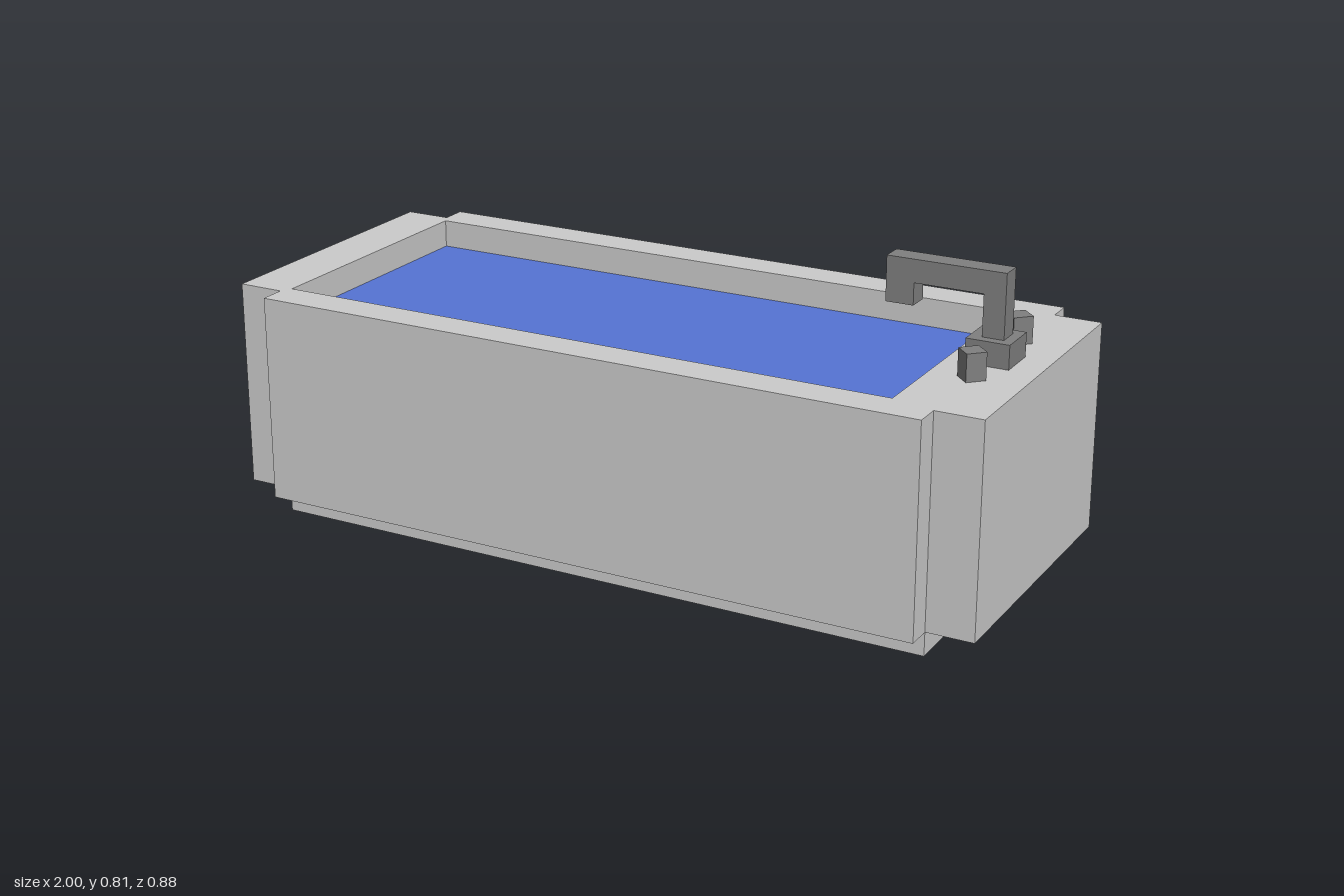
import * as THREE from 'three';

const enamel = new THREE.MeshStandardMaterial({ color: 0xcccccc, flatShading: true });
const metal = new THREE.MeshStandardMaterial({ color: 0x808080, flatShading: true });
const waterBlue = new THREE.MeshStandardMaterial({ color: 0x5674d4, side: THREE.DoubleSide });

function add(parent, name, geometry, material) {
  const mesh = new THREE.Mesh(geometry, material);
  mesh.name = name;
  parent.add(mesh);
  return mesh;
}

// Box given by its min and max corners
function box(parent, name, [x0, y0, z0], [x1, y1, z1], material) {
  const mesh = add(parent, name, new THREE.BoxGeometry(x1 - x0, y1 - y0, z1 - z0), material);
  mesh.position.set((x0 + x1) / 2, (y0 + y1) / 2, (z0 + z1) / 2);
  return mesh;
}

const toPoints = list => list.map(([x, y]) => new THREE.Vector2(x, y));

export function createModel() {
  const group = new THREE.Group();
  const endX = 1, sideX = 0.88, endZ = 0.375, sideZ = 0.442;
  const bottom = 0.06, rim = 0.592;

  // Tub walls: outline with notched corners and a rectangular basin
  const outline = new THREE.Shape(toPoints([
    [-endX, -endZ], [-sideX, -endZ], [-sideX, -sideZ], [sideX, -sideZ],
    [sideX, -endZ], [endX, -endZ], [endX, endZ], [sideX, endZ],
    [sideX, sideZ], [-sideX, sideZ], [-sideX, endZ], [-endX, endZ],
  ]));
  outline.holes.push(new THREE.Path(toPoints([
    [-0.865, -0.347], [-0.865, 0.347], [0.77, 0.347], [0.77, -0.347],
  ])));
  const walls = new THREE.ExtrudeGeometry(outline, { depth: rim - bottom, bevelEnabled: false });
  walls.rotateX(-Math.PI / 2);
  add(group, 'tubWalls', walls, enamel).position.y = bottom;

  // Plinth, which also closes the basin floor
  box(group, 'plinth', [-sideX, 0, -endZ], [sideX, bottom, endZ], enamel);

  // Water surface just below the rim
  const water = add(group, 'water', new THREE.PlaneGeometry(1.635, 0.694), waterBlue);
  water.rotation.x = -Math.PI / 2;
  water.position.set(-0.0475, 0.52, 0);

  // Faucet: foot, post, arm and downturned spout as one profile
  const faucet = new THREE.Group();
  faucet.name = 'faucet';
  group.add(faucet);
  box(faucet, 'faucetFoot', [0.82, rim, -0.053], [0.928, 0.652, 0.053], metal);
  const spoutShape = new THREE.Shape(toPoints([
    [0.85, 0.652], [0.904, 0.652], [0.904, 0.812], [0.608, 0.812],
    [0.608, 0.7], [0.678, 0.7], [0.678, 0.755], [0.85, 0.755],
  ]));
  const spout = new THREE.ExtrudeGeometry(spoutShape, { depth: 0.056, bevelEnabled: false });
  add(faucet, 'spout', spout, metal).position.z = -0.028;

  // Four-sided tap knobs
  for (const side of [-1, 1]) {
    const name = side < 0 ? 'backKnob' : 'frontKnob';
    const knob = add(faucet, name, new THREE.CylinderGeometry(0.035, 0.035, 0.068, 4), metal);
    knob.position.set(0.875, 0.627, side * 0.145);
  }
  return group;
}
